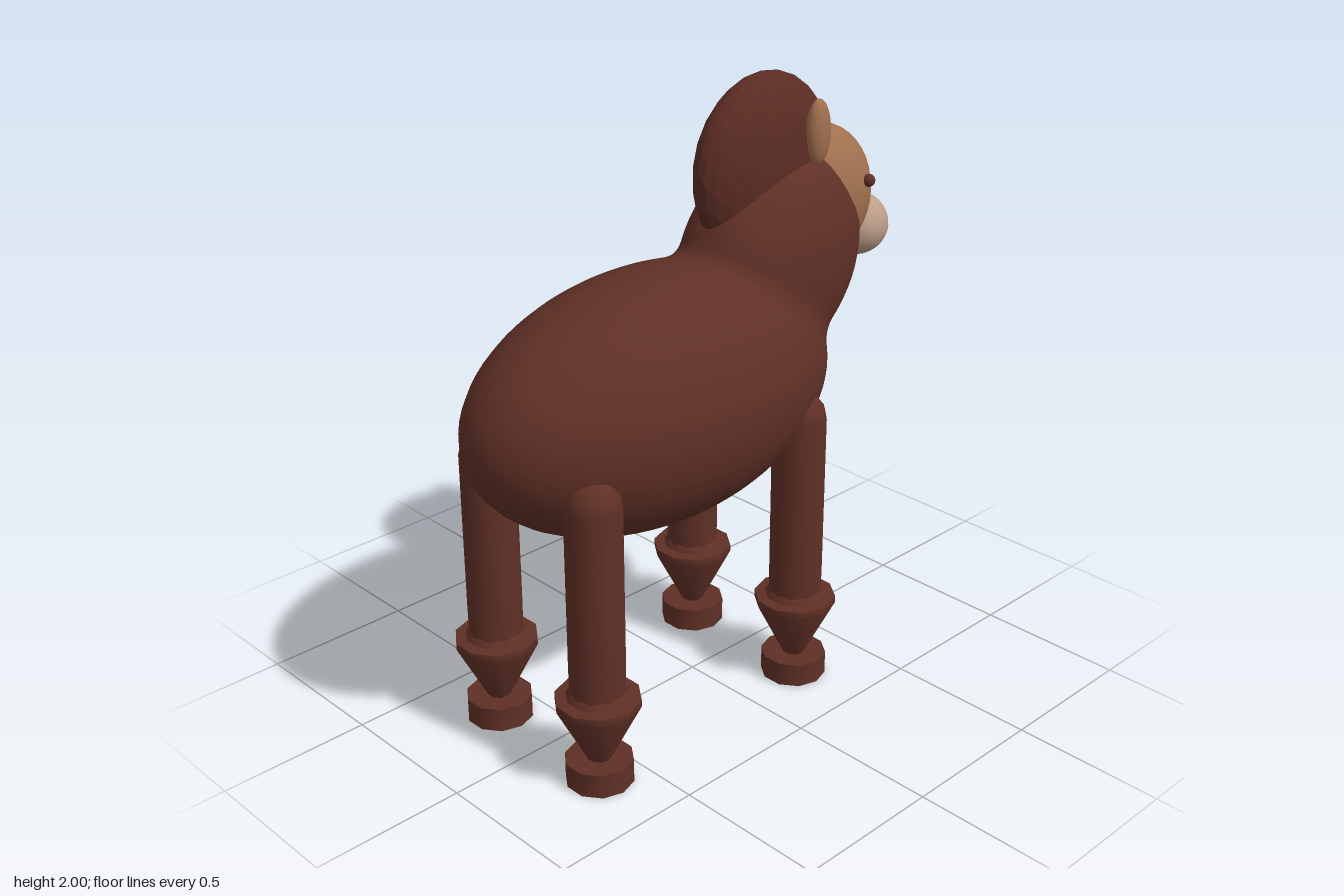
import * as THREE from 'three';
import { mergeVertices, toCreasedNormals } from 'three/addons/utils/BufferGeometryUtils.js';

const coat = new THREE.MeshStandardMaterial({ color: 0x5f3026 });
coat.name = 'coat brown';
const maneBrown = new THREE.MeshStandardMaterial({ color: 0x5a2c23, flatShading: true });
maneBrown.name = 'mane brown';
const tan = new THREE.MeshStandardMaterial({ color: 0xa0704f });
tan.name = 'face tan';
const pale = new THREE.MeshStandardMaterial({ color: 0xbb9c88 });
pale.name = 'muzzle beige';

function add(parent, name, geometry, material, x = 0, y = 0, z = 0) {
  const mesh = new THREE.Mesh(geometry, material);
  mesh.name = name;
  mesh.position.set(x, y, z);
  parent.add(mesh);
  return mesh;
}

const ellipsoid = (rx, ry, rz) => new THREE.SphereGeometry(1, 32, 20).scale(rx, ry, rz);

// Approximate distance to the barrel-shaped torso
function torsoDistance(x, y, z) {
  const a = x / 0.375, b = (y - 1.072) / 0.407, c = (z - 0.173) / 0.692;
  const k = Math.hypot(a, b, c);
  return k * (k - 1) / Math.max(1e-6, Math.hypot(a / 0.375, b / 0.407, c / 0.692));
}

// Approximate distance to the neck, leaning forward and slightly full at the sides
function neckDistance(x, y, z) {
  const dy = y - 1.39, dz = z + 0.34;
  const along = (dy * 0.8 - dz * 0.6) / 0.38;
  const across = (dy * 0.6 + dz * 0.8) / 0.325;
  const p = 2.2;
  const k = (Math.abs(x / 0.218) ** p + Math.hypot(along, across) ** p) ** (1 / p);
  return (k - 1) * 0.3;
}

// Torso and neck blended with a small fillet into a single skin
function bodyGeometry() {
  const sphere = new THREE.SphereGeometry(1, 112, 80);
  sphere.deleteAttribute('uv');
  sphere.deleteAttribute('normal');
  const geometry = mergeVertices(sphere, 1e-5);
  const pos = geometry.attributes.position;
  const origin = new THREE.Vector3(0, 1.2, -0.15);
  const dir = new THREE.Vector3();
  const point = new THREE.Vector3();
  const blend = 0.05;
  for (let i = 0; i < pos.count; i++) {
    dir.fromBufferAttribute(pos, i).normalize();
    let near = 0, far = 1.6;
    for (let step = 0; step < 30; step++) {
      const mid = (near + far) / 2;
      point.copy(origin).addScaledVector(dir, mid);
      const a = torsoDistance(point.x, point.y, point.z);
      const b = neckDistance(point.x, point.y, point.z);
      const h = Math.max(blend - Math.abs(a - b), 0) / blend;
      if (Math.min(a, b) - h * h * blend / 4 < 0) near = mid;
      else far = mid;
    }
    point.copy(origin).addScaledVector(dir, near);
    pos.setXYZ(i, point.x, point.y, point.z);
  }
  geometry.computeVertexNormals();
  return geometry;
}

const lathe = (points, sides) =>
  new THREE.LatheGeometry(points.map(([r, y]) => new THREE.Vector2(r, y)), sides, Math.PI / 2);

export function createModel() {
  const model = new THREE.Group();
  model.name = 'horse';

  add(model, 'bodyAndNeck', bodyGeometry(), coat);

  // Head
  const head = new THREE.Group();
  head.name = 'head';
  model.add(head);
  add(head, 'face', ellipsoid(0.155, 0.228, 0.2), tan, 0, 1.558, -0.562);
  add(head, 'muzzle', ellipsoid(0.118, 0.107, 0.112), pale, 0, 1.412, -0.752);
  const mane = new THREE.IcosahedronGeometry(1, 4).scale(0.115, 0.3, 0.285);
  add(head, 'mane', mane, maneBrown, 0, 1.7, -0.305);
  for (const side of [1, -1]) {
    const label = side > 0 ? 'left' : 'right';
    add(head, label + 'Ear', ellipsoid(0.034, 0.105, 0.045), tan, side * 0.11, 1.805, -0.437);
    add(head, label + 'Eye', new THREE.SphereGeometry(0.021, 16, 12), coat, side * 0.143, 1.61, -0.65);
  }

  // Legs: round-topped shank, flared fetlock tapering downward, flat hoof
  const shank = lathe([[0.085, 0.26], [0.087, 0.4], [0.087, 0.94], [0.078, 0.98], [0.05, 1.015], [0, 1.03]], 20);
  const fetlock = toCreasedNormals(
    lathe([[0, 0.07], [0.035, 0.075], [0.135, 0.275], [0.135, 0.298], [0.1, 0.302], [0.086, 0.325]], 10), 0.7);
  const hoof = toCreasedNormals(
    new THREE.CylinderGeometry(0.108, 0.108, 0.08, 10).rotateY(Math.PI / 2), 0.7);
  for (const [end, z] of [['front', -0.237], ['back', 0.635]]) {
    for (const side of [1, -1]) {
      const leg = new THREE.Group();
      leg.name = end + (side > 0 ? 'Left' : 'Right') + 'Leg';
      leg.position.set(side * 0.244, 0, z);
      model.add(leg);
      add(leg, 'shank', shank, coat);
      add(leg, 'fetlock', fetlock, coat);
      add(leg, 'hoof', hoof, coat, 0, 0.04, 0);
    }
  }
  return model;
}
